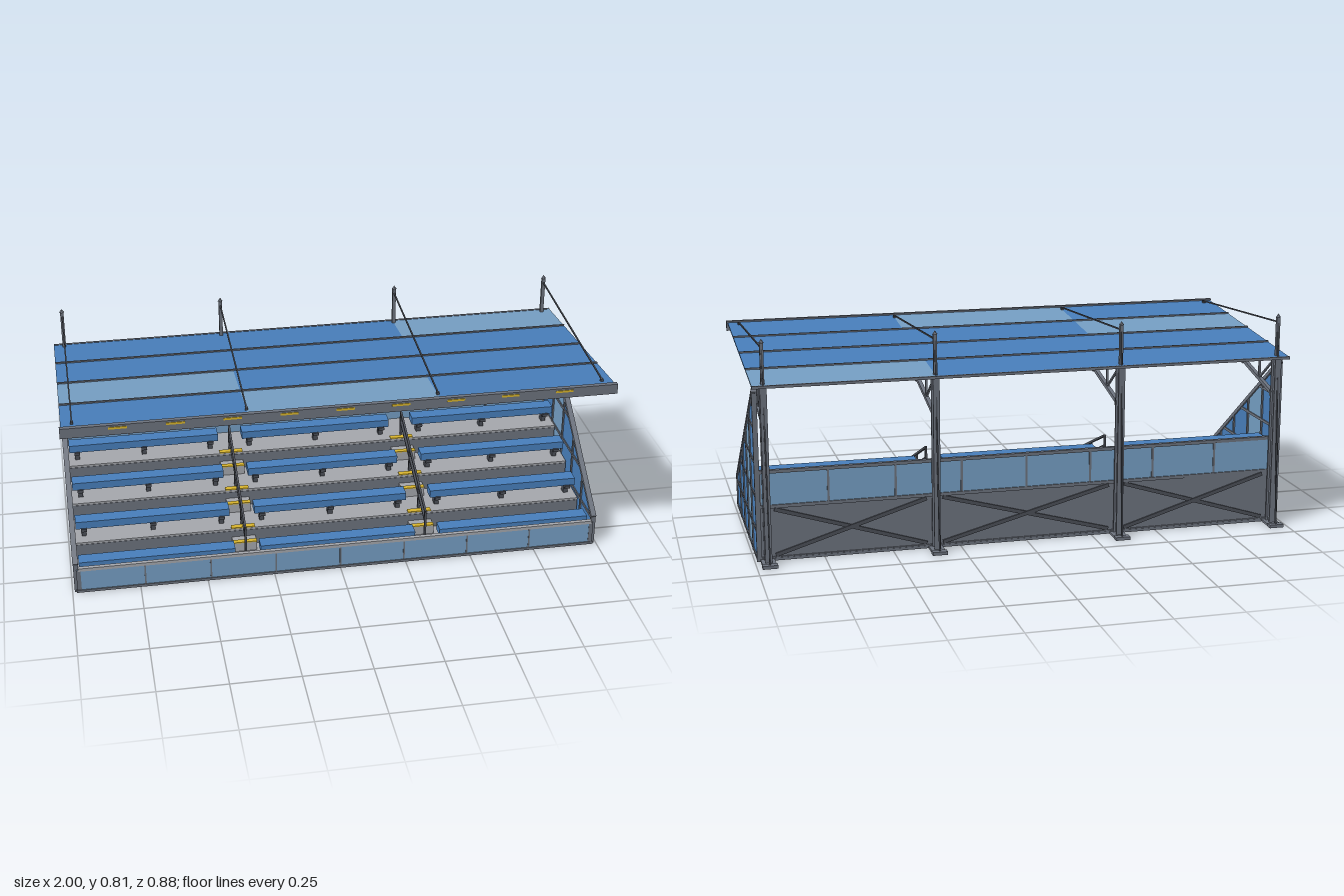
import * as THREE from 'three';

const mat = (name, color) => {
  const m = new THREE.MeshStandardMaterial({ color });
  m.name = name;
  return m;
};

export function createModel() {
  const blue = mat('blue', 0x477db9);
  const pale = mat('paleBlue', 0x749dc2);
  const steel = mat('steel', 0x6b717c);
  const dark = mat('darkSteel', 0x4a4e56);
  const deck = mat('deckGrey', 0xa3a5ab);
  const yellow = mat('yellow', 0xd6b22c);

  const model = new THREE.Group();
  model.name = 'grandstand';
  const group = (name) => {
    const g = new THREE.Group();
    g.name = name;
    model.add(g);
    return g;
  };
  const box = (g, name, m, w, h, d, x, y, z) => {
    const mesh = new THREE.Mesh(new THREE.BoxGeometry(w, h, d), m);
    mesh.name = name;
    mesh.position.set(x, y, z);
    g.add(mesh);
    return mesh;
  };
  // Square bar between two points
  const beam = (g, name, m, a, b, w, h = w) => {
    const p = new THREE.Vector3(...a), q = new THREE.Vector3(...b);
    const mesh = box(g, name, m, w, h, p.distanceTo(q), 0, 0, 0);
    mesh.position.copy(p).add(q).multiplyScalar(0.5);
    mesh.lookAt(q);
    return mesh;
  };

  const bays = [[-0.97, -0.39], [-0.295, 0.295], [0.39, 0.97]];
  const columnX = [-0.955, -0.345, 0.345, 0.955];

  // Base and stepped decks
  const stand = group('terrace');
  box(stand, 'base', steel, 1.97, 0.01, 0.705, 0, 0.005, 0.003);
  const tierY = (i) => 0.03 + i * 0.07;
  const tierFront = (i) => 0.345 - i * 0.17;
  for (let i = 0; i < 4; i++) {
    const y = tierY(i), z = tierFront(i);
    box(stand, 'tierRiser', steel, 1.95, y - 0.018, 0.17, 0, y / 2, z - 0.085);
    box(stand, 'tierDeck', deck, 1.95, 0.008, 0.17, 0, y - 0.004, z - 0.085);
    // Benches on short legs
    for (const [a, b] of bays) {
      const bz = z - 0.06, w = b - a;
      box(stand, 'benchSeat', blue, w, 0.03, 0.055, (a + b) / 2, y + 0.055, bz);
      for (const x of [a + 0.03, (a + b) / 2, b - 0.03]) {
        box(stand, 'benchLeg', dark, 0.018, 0.042, 0.025, x, y + 0.02, bz);
        box(stand, 'benchBracket', dark, 0.022, 0.012, 0.07, x, y + 0.036, bz);
      }
    }
    // Aisle half steps with yellow nosings
    for (const x of [-0.3425, 0.3425]) {
      box(stand, 'stepNosing', yellow, 0.09, 0.004, 0.022, x, y + 0.002, z - 0.012);
      if (i > 0) {
        box(stand, 'aisleStep', deck, 0.09, 0.035, 0.05, x, y - 0.0525, z + 0.025);
        box(stand, 'stepNosing', yellow, 0.09, 0.004, 0.02, x, y - 0.033, z + 0.04);
      }
    }
  }

  // Sloping aisle handrails
  const rails = group('aisleHandrails');
  for (const x of [-0.345, 0.345]) {
    const top = (z) => 0.34 - (z + 0.2) * 0.41;
    for (const z of [-0.2, -0.03, 0.14, 0.26]) {
      const t = Math.max(0, Math.min(3, Math.floor((0.345 - z) / 0.17)));
      beam(rails, 'handrailPost', dark, [x, tierY(t), z], [x, top(z), z], 0.008);
    }
    for (const drop of [0, 0.04]) {
      beam(rails, 'handrailBar', dark, [x, top(-0.2) - drop, -0.2], [x, top(0.26) - drop, 0.26], 0.008);
    }
  }

  // Front parapet
  const front = group('frontParapet');
  box(front, 'frontPanel', pale, 1.96, 0.09, 0.008, 0, 0.05, 0.35);
  box(front, 'frontSill', steel, 1.97, 0.01, 0.016, 0, 0.005, 0.35);
  box(front, 'frontCap', deck, 1.95, 0.012, 0.016, 0, 0.097, 0.35);
  for (let i = -4; i <= 4; i++) {
    box(front, 'frontMullion', steel, Math.abs(i) === 4 ? 0.016 : 0.006, 0.09, 0.011, i * 0.2435, 0.05, 0.35);
  }

  // Back wall with cross braces
  const back = group('backWall');
  box(back, 'backLowerPanel', steel, 1.95, 0.2, 0.006, 0, 0.1, -0.34);
  box(back, 'backUpperPanel', pale, 1.95, 0.13, 0.008, 0, 0.265, -0.339);
  for (const y of [0.008, 0.2, 0.328]) box(back, 'backRail', steel, 1.95, 0.012, 0.016, 0, y, -0.34);
  for (let i = -4; i <= 4; i++) box(back, 'backMullion', steel, 0.008, 0.13, 0.013, i * 0.2435, 0.265, -0.339);
  for (let i = 0; i < 3; i++) {
    const a = columnX[i] + 0.03, b = columnX[i + 1] - 0.03;
    beam(back, 'crossBrace', dark, [a, 0.02, -0.347], [b, 0.19, -0.347], 0.006, 0.014);
    beam(back, 'crossBrace', dark, [a, 0.19, -0.349], [b, 0.02, -0.349], 0.006, 0.014);
  }

  // Sloped side walls: panels between posts, then the frame
  const postZ = [0.345, 0.206, 0.07, -0.07, -0.206, -0.345];
  const slopeY = (z) => 0.12 + (0.345 - z) * 0.725;
  for (const s of [-1, 1]) {
    const side = group(s > 0 ? 'leftSideWall' : 'rightSideWall');
    const x = s * 0.983;
    for (let i = 0; i < 5; i++) {
      const a = postZ[i], b = postZ[i + 1];
      const shape = new THREE.Shape([[-a, 0.005], [-b, 0.005], [-b, slopeY(b)], [-a, slopeY(a)]]
        .map((p) => new THREE.Vector2(...p)));
      const geo = new THREE.ExtrudeGeometry(shape, { depth: 0.008, bevelEnabled: false });
      geo.rotateY(Math.PI / 2);
      const panel = new THREE.Mesh(geo, i === 3 ? pale : blue);
      panel.name = 'sidePanel';
      panel.position.x = x - 0.004;
      side.add(panel);
    }
    for (const z of postZ) box(side, 'sidePost', steel, 0.018, slopeY(z), 0.011, x, slopeY(z) / 2, z);
    for (const y of [0.006, 0.11, 0.237, 0.363, 0.49]) {
      const z0 = Math.min(0.345, 0.345 - (y - 0.12) / 0.725);
      beam(side, 'sideRail', steel, [x, y, z0], [x, y, -0.345], 0.016, 0.01);
    }
    beam(side, 'slopedRail', steel, [x, slopeY(0.35), 0.35], [x, slopeY(-0.347), -0.347], 0.02, 0.014);
  }

  // Roof panels, purlins and fascia
  const roof = group('roof');
  const roofY = (z) => 0.682 + z * 0.086;
  const roofX = [-0.995, -0.345, 0.345, 0.995];
  const roofZ = [-0.402, -0.2, 0.006, 0.212, 0.425];
  const paleCells = ['2,0', '0,2', '1,3'];
  for (let i = 0; i < 3; i++) {
    for (let j = 0; j < 4; j++) {
      const x = (roofX[i] + roofX[i + 1]) / 2, a = roofZ[j], b = roofZ[j + 1];
      beam(roof, 'roofPanel', paleCells.includes(i + ',' + j) ? pale : blue,
        [x, roofY(a), a], [x, roofY(b), b], roofX[i + 1] - roofX[i], 0.006);
    }
  }
  for (const z of roofZ.slice(1, 4)) box(roof, 'roofBatten', steel, 1.99, 0.007, 0.007, 0, roofY(z) + 0.005, z);
  box(roof, 'rearGutter', steel, 1.99, 0.01, 0.01, 0, roofY(-0.402), -0.402);
  box(roof, 'fascia', steel, 2, 0.038, 0.014, 0, 0.708, 0.43);
  box(roof, 'fasciaLip', steel, 2, 0.006, 0.018, 0, 0.724, 0.428);
  for (let i = -4; i <= 4; i++) box(roof, 'fasciaMarker', yellow, 0.065, 0.008, 0.003, i * 0.2, 0.716, 0.438);

  // Columns, cantilever trusses, masts and cables
  const topY = (z) => 0.669 + z * 0.086;
  const lowY = (z) => 0.586 + z * 0.234;
  const nodes = [0.395, 0.242, 0.09, -0.065, -0.22, -0.36];
  for (const x of columnX) {
    const frame = group('supportFrame');
    for (const z of [-0.358, -0.392]) box(frame, 'columnFlange', steel, 0.024, 0.645, 0.006, x, 0.3225, z);
    box(frame, 'columnWeb', steel, 0.008, 0.645, 0.03, x, 0.3225, -0.375);
    box(frame, 'columnBase', steel, 0.05, 0.008, 0.06, x, 0.004, -0.38);
    box(frame, 'cableAnchor', steel, 0.055, 0.012, 0.026, x, 0.006, -0.427);
    box(frame, 'mast', steel, 0.013, 0.16, 0.012, x, 0.72, -0.377);
    const cap = new THREE.Mesh(new THREE.ConeGeometry(0.01, 0.014, 4), steel);
    cap.name = 'mastCap';
    cap.position.set(x, 0.805, -0.377);
    frame.add(cap);
    beam(frame, 'topChord', steel, [x, topY(0.425) + 0.002, 0.425], [x, topY(-0.36), -0.36], 0.014, 0.018);
    beam(frame, 'bottomChord', steel, [x, lowY(0.4), 0.4], [x, lowY(-0.36), -0.36], 0.014, 0.014);
    nodes.forEach((z, i) => {
      if (i < 5) {
        const n = nodes[i + 1];
        beam(frame, 'trussStrut', steel, [x, lowY(z), z], [x, topY(z), z], 0.008);
        beam(frame, 'trussDiagonal', steel, [x, lowY(z), z], [x, topY(n), n], 0.007);
      }
    });
    for (const z of [0.242, -0.065]) box(frame, 'gusset', steel, 0.018, 0.006, 0.02, x, lowY(z) - 0.008, z);
    box(frame, 'columnBracket', steel, 0.02, 0.02, 0.02, x, 0.503, -0.352);
    beam(frame, 'frontCable', dark, [x, 0.78, -0.375], [x, 0.726, 0.385], 0.005);
    beam(frame, 'backCable', dark, [x, 0.785, -0.38], [x, 0.01, -0.426], 0.005);
    box(frame, 'cableFoot', dark, 0.01, 0.012, 0.012, x, 0.722, 0.385);
  }
  return model;
}
